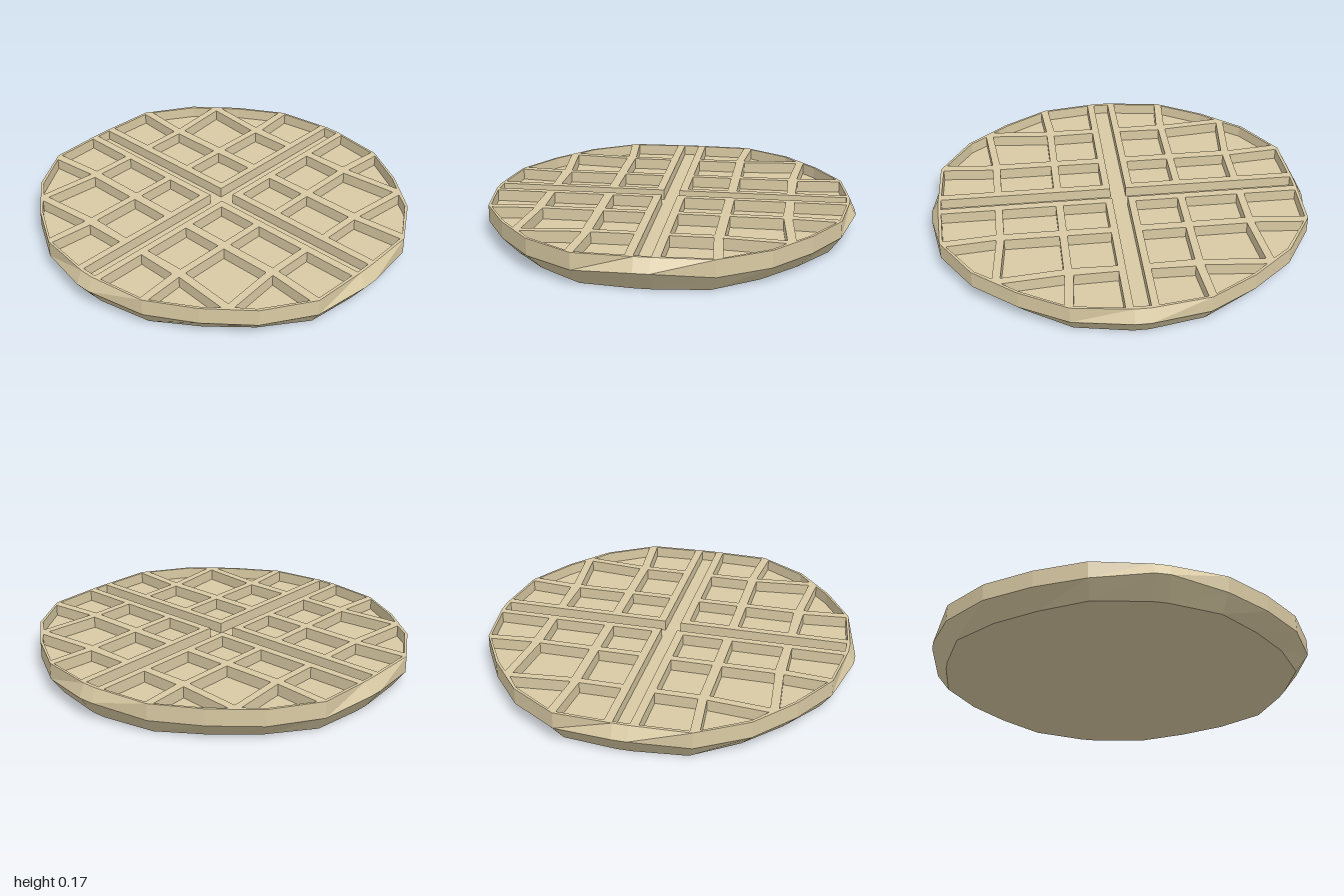
import * as THREE from 'three';

const TOP = 0.175, POCKET = 0.115, GROOVE = 0.12;
const material = new THREE.MeshStandardMaterial({ color: 0xd9caa3, flatShading: true });

// Mirrors the points of one quadrant [x, depth, height] into a full counter-clockwise loop
function mirrorFour(quadrant) {
  const flip = (sx, sv) => quadrant.map(([x, v, y]) => [x * sx, v * sv, y]);
  return [...flip(1, 1), ...flip(-1, 1).reverse(), ...flip(-1, -1), ...flip(1, -1).reverse()];
}

// Band of quads between a lower and an upper loop, facing outward for counter-clockwise loops
function band(lower, upper) {
  const pos = [];
  const put = ([x, v, y]) => pos.push(x, y, -v);
  lower.forEach((a, i) => {
    const j = (i + 1) % lower.length;
    [a, lower[j], upper[j], a, upper[j], upper[i]].forEach(put);
  });
  const geo = new THREE.BufferGeometry();
  geo.setAttribute('position', new THREE.Float32BufferAttribute(pos, 3));
  geo.computeVertexNormals();
  return geo;
}

const vectors = (loop) => loop.map(([x, v]) => new THREE.Vector2(x, v));
const atHeight = (loop, y) => loop.map(([x, v]) => [x, v, y]);

// Flat horizontal face with optional holes
function cap(loop, y, holes = [], down = false) {
  const shape = new THREE.Shape(vectors(loop));
  shape.holes = holes.map((h) => new THREE.Path(vectors(h)));
  return new THREE.ShapeGeometry(shape)
    .rotateX(down ? Math.PI / 2 : -Math.PI / 2).translate(0, y, 0);
}

export function createModel() {
  const model = new THREE.Group();
  model.name = 'waffle';
  const add = (parent, name, geo) => {
    const mesh = new THREE.Mesh(geo, material);
    mesh.name = name;
    parent.add(mesh);
  };

  // Outline loops from bottom to top
  const bottom = mirrorFour([[0.905, 0.04, 0], [0.85, 0.32, 0], [0.7, 0.54, 0],
    [0.53, 0.73, 0], [0.31, 0.89, 0], [0.04, 0.92, 0]]);
  const middle = mirrorFour([[0.985, 0.04, 0.107], [0.91, 0.34, 0.087], [0.77, 0.58, 0.087],
    [0.59, 0.795, 0.087], [0.34, 0.95, 0.087], [0.04, 1, 0.107]]);
  const top = mirrorFour([[0.953, 0.04, TOP], [0.91, 0.34, TOP], [0.77, 0.58, TOP],
    [0.59, 0.795, TOP], [0.34, 0.95, TOP], [0.04, 0.962, TOP]]);

  // Cross-shaped groove dividing the four quarters
  const groove = mirrorFour([[0.935, 0.042], [0.042, 0.042], [0.042, 0.947]]);

  // Pockets of one quarter, counter-clockwise
  const quarter = [
    [[0.085, 0.08], [0.3, 0.08], [0.3, 0.305], [0.085, 0.305]],
    [[0.35, 0.08], [0.62, 0.08], [0.615, 0.305], [0.35, 0.305]],
    [[0.665, 0.08], [0.935, 0.08], [0.9, 0.322], [0.67, 0.3]],
    [[0.085, 0.345], [0.3, 0.345], [0.3, 0.625], [0.085, 0.625]],
    [[0.35, 0.345], [0.62, 0.345], [0.65, 0.655], [0.35, 0.625]],
    [[0.665, 0.345], [0.885, 0.362], [0.757, 0.575], [0.693, 0.65]],
    [[0.085, 0.665], [0.3, 0.665], [0.325, 0.935], [0.085, 0.945]],
    [[0.345, 0.665], [0.65, 0.695], [0.585, 0.78], [0.37, 0.918]],
  ];
  const pockets = [];
  for (const sx of [1, -1]) for (const sv of [1, -1]) {
    for (const p of quarter) {
      const loop = p.map(([x, v]) => [x * sx, v * sv]);
      pockets.push(sx * sv > 0 ? loop : loop.reverse());
    }
  }

  // Body shell
  add(model, 'underside', cap(bottom, 0, [], true));
  add(model, 'lowerRim', band(bottom, middle));
  add(model, 'upperRim', band(middle, top));
  add(model, 'ribGrid', cap(top, TOP, [groove, ...pockets]));

  // Recess with inward-facing walls and a floor
  const addRecess = (name, loop, floor) => {
    const group = new THREE.Group();
    group.name = name;
    const inward = [...loop].reverse();
    add(group, name + 'Walls', band(atHeight(inward, floor), atHeight(inward, TOP)));
    add(group, name + 'Floor', cap(loop, floor));
    model.add(group);
  };
  addRecess('crossGroove', groove[0][0] > 0 ? groove : [...groove].reverse(), GROOVE);
  pockets.forEach((p) => addRecess('pocket', p, POCKET));
  return model;
}
